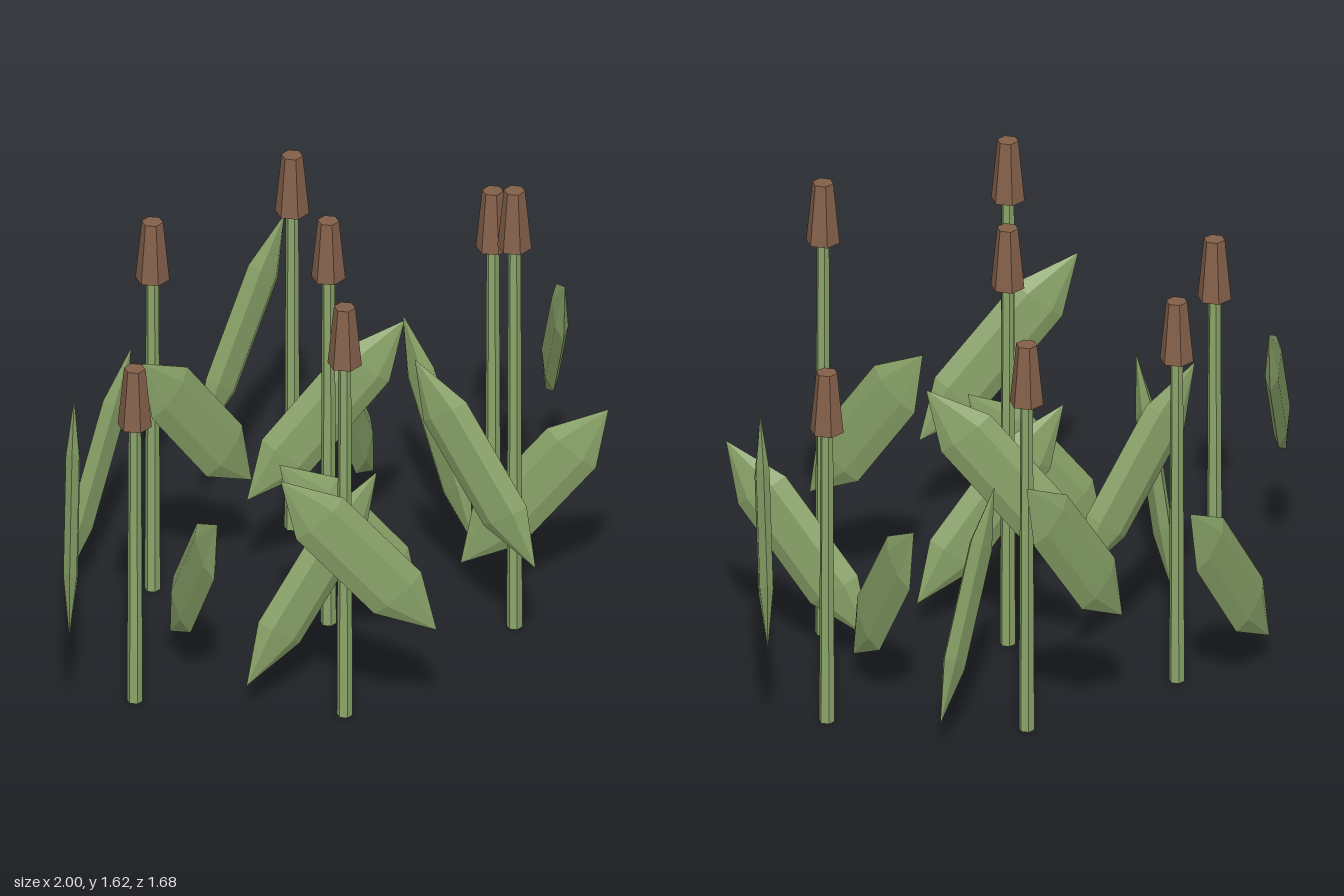
import * as THREE from 'three';

const green = new THREE.MeshStandardMaterial({ color: 0x8ba56a, flatShading: true });
green.name = 'leafGreen';
const brown = new THREE.MeshStandardMaterial({ color: 0x84604a, flatShading: true });
brown.name = 'seedHeadBrown';

const HEAD_HEIGHT = 0.21;

// Each reed: x, z, total height
const reeds = [
  [-0.72, 0.32, 1.23], [-0.42, -0.345, 1.36], [-0.115, 0.635, 1.51], [0.038, 0.055, 1.49],
  [0.138, -0.567, 1.38], [0.594, 0.28, 1.615], [0.745, -0.345, 1.25],
];

// Each leaf: foot x, z, then tip x, z
const highLeaves = [
  [-0.18, -0.57, 0.21, -0.84], [-0.10, -0.29, -0.55, -0.08], [-0.16, -0.17, 0.34, -0.06],
  [0.99, -0.53, 0.90, -0.09], [0.565, 0.56, 0.285, 0.19], [0.13, 0.83, -0.39, 0.79],
  [-1.0, 0.475, -0.83, 0.05],
];
const lowLeaves = [
  [-0.74, -0.30, -0.39, -0.63], [0.45, -0.66, 0.17, -0.28], [0.59, -0.09, 0.505, -0.535],
  [0.51, 0.0, 0.92, 0.27], [0.30, 0.21, -0.20, 0.25], [-0.41, 0.52, 0.08, 0.40],
  [-0.52, 0.10, -0.52, 0.55],
];

// Faceted blade: pointed at both ends, straight sided between two rings
const bladeGeometry = new THREE.SphereGeometry(1, 6, 3);

function makeLeaf([x0, z0, x1, z1], low, high) {
  const foot = new THREE.Vector3(x0, low, z0);
  const tip = new THREE.Vector3(x1, high, z1);
  const along = tip.clone().sub(foot);
  const length = along.length();
  along.normalize();
  // The flat side stands upright, so its normal is horizontal
  const normal = new THREE.Vector3(along.z, 0, -along.x).normalize();
  const across = new THREE.Vector3().crossVectors(along, normal);
  const leaf = new THREE.Mesh(bladeGeometry, green);
  leaf.name = 'leaf';
  leaf.quaternion.setFromRotationMatrix(new THREE.Matrix4().makeBasis(across, along, normal));
  leaf.scale.set(0.118, length / 2, 0.029);
  leaf.position.copy(foot).add(tip).multiplyScalar(0.5);
  return leaf;
}

function makeReed([x, z, height]) {
  const reed = new THREE.Group();
  reed.name = 'reed';
  const stemHeight = height - HEAD_HEIGHT;
  const stem = new THREE.Mesh(new THREE.CylinderGeometry(0.021, 0.026, stemHeight, 6), green);
  stem.name = 'stem';
  stem.position.y = stemHeight / 2;
  const head = new THREE.Mesh(new THREE.CylinderGeometry(0.035, 0.056, HEAD_HEIGHT, 6), brown);
  head.name = 'seedHead';
  head.position.y = height - HEAD_HEIGHT / 2;
  reed.add(stem, head);
  reed.position.set(x, 0, z);
  return reed;
}

export function createModel() {
  const model = new THREE.Group();
  model.name = 'reedClump';
  for (const r of reeds) model.add(makeReed(r));
  for (const l of highLeaves) model.add(makeLeaf(l, 0.37, 1.0));
  for (const l of lowLeaves) model.add(makeLeaf(l, 0.1, 0.735));
  return model;
}
